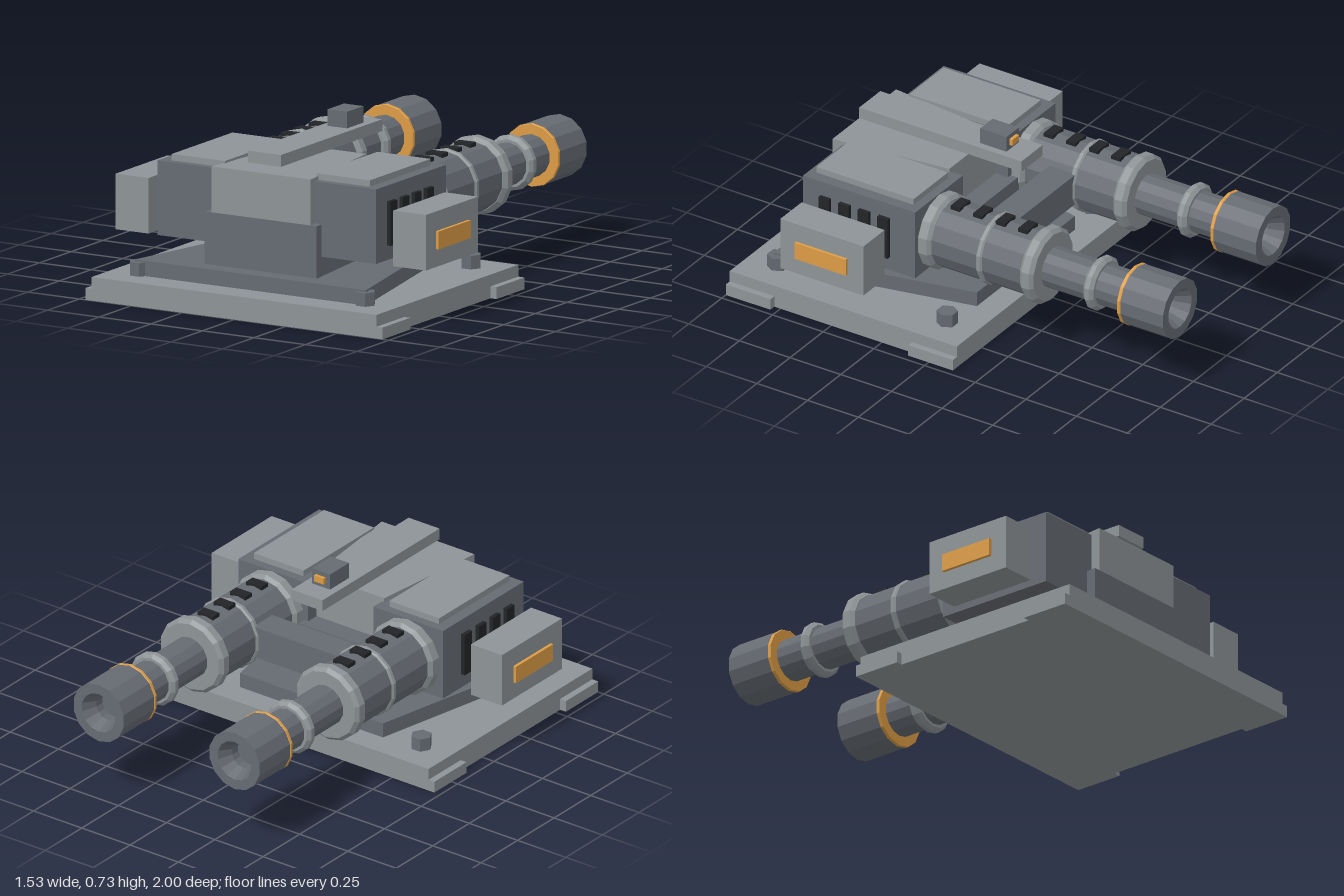
import * as THREE from 'three';

const paint = (color) => new THREE.MeshStandardMaterial({ color, flatShading: true });

export function createModel() {
  const model = new THREE.Group();
  const light = paint(0x8d9396), dark = paint(0x666b72);
  const black = paint(0x222427), amber = paint(0xdc9c45);

  function add(name, geometry, material, parent = model) {
    const mesh = new THREE.Mesh(geometry, material);
    mesh.name = name;
    parent.add(mesh);
    return mesh;
  }

  // Box given by its limits on each axis
  function box(name, material, [x0, x1], [y0, y1], [z0, z1], parent) {
    const g = new THREE.BoxGeometry(x1 - x0, y1 - y0, z1 - z0);
    g.translate((x0 + x1) / 2, (y0 + y1) / 2, (z0 + z1) / 2);
    return add(name, g, material, parent);
  }

  // Centred block whose half width changes from back to front
  function wedge(name, material, backHalf, frontHalf, [y0, y1], [z0, z1]) {
    const mesh = box(name, material, [-1, 1], [y0, y1], [z0, z1]);
    const p = mesh.geometry.attributes.position;
    for (let i = 0; i < p.count; i++) {
      const half = p.getZ(i) > (z0 + z1) / 2 ? frontHalf : backHalf;
      p.setX(i, Math.sign(p.getX(i)) * half);
    }
    mesh.geometry.computeVertexNormals();
    return mesh;
  }

  // Turned part along -z from [radius, distance] pairs
  function turned(name, material, profile, parent) {
    const g = new THREE.LatheGeometry(profile.map(([r, t]) => new THREE.Vector2(r, t)), 14);
    g.rotateX(-Math.PI / 2);
    return add(name, g, material, parent);
  }

  // Bevelled collar around a barrel
  function collar(name, material, inner, outer, t0, t1, bevel, parent) {
    turned(name, material, [
      [inner, t0], [outer - bevel, t0], [outer, t0 + bevel],
      [outer, t1 - bevel], [outer - bevel, t1], [inner, t1],
    ], parent);
  }

  // Base and mount
  box('base', light, [-0.69, 0.69], [0, 0.1], [-0.12, 1]);
  wedge('mountPlate', dark, 0.37, 0.56, [0.1, 0.165], [-0.01, 0.87]);
  wedge('pedestal', dark, 0.2, 0.272, [0.165, 0.386], [0.155, 0.79]);
  wedge('centralHousing', light, 0.18, 0.24, [0.386, 0.58], [0.25, 0.787]);
  box('barrelCrossbar', dark, [-0.25, 0.25], [0.33, 0.47], [-0.11, 0.02]);

  // Sight rail above the housing
  box('sightRail', light, [-0.08, 0.08], [0.61, 0.66], [-0.04, 0.76]);
  box('sight', dark, [-0.047, 0.047], [0.66, 0.73], [0.055, 0.185]);
  box('sightLens', amber, [-0.025, 0.025], [0.682, 0.71], [0.04, 0.055]);

  for (const side of [1, -1]) {
    const half = new THREE.Group();
    half.name = side > 0 ? 'leftSide' : 'rightSide';
    model.add(half);
    const sbox = (name, material, [a, b], y, z) =>
      box(name, material, side > 0 ? [a, b] : [-b, -a], y, z, half);

    // Base corner tabs and hexagonal bolts
    for (const z of [-0.12, 0.78]) sbox('baseTab', light, [0.69, 0.72], [0, 0.05], [z, z + 0.22]);
    for (const z of [0.02, 0.855]) {
      const bolt = new THREE.CylinderGeometry(0.045, 0.045, 0.057, 6);
      bolt.rotateY(Math.PI / 6);
      bolt.translate(side * 0.547, 0.1285, z);
      add('bolt', bolt, dark, half);
    }

    // Gun housing with roof plate and side vents
    sbox('gunHousing', dark, [0.17, 0.53], [0.248, 0.563], [0.19, 0.742]);
    sbox('roofPlate', light, [0.222, 0.48], [0.563, 0.59], [0.23, 0.71]);
    for (const z of [0.34, 0.437, 0.533, 0.63])
      sbox('sideVent', black, [0.525, 0.548], [0.31, 0.497], [z - 0.026, z + 0.026]);

    // Side pod with lit panel
    sbox('sidePod', light, [0.592, 0.752], [0.24, 0.475], [0.3, 0.71]);
    sbox('podPanel', amber, [0.752, 0.766], [0.316, 0.392], [0.378, 0.632]);

    // Barrel assembly
    const gun = new THREE.Group();
    gun.name = 'gun';
    gun.position.set(side * 0.352, 0.4, 0);
    half.add(gun);
    turned('barrelSleeve', dark, [[0, -0.25], [0.148, -0.25], [0.148, 0.36], [0, 0.36]], gun);
    collar('rearCollar', light, 0.14, 0.165, -0.2, -0.13, 0.015, gun);
    collar('middleCollar', light, 0.14, 0.157, 0.09, 0.118, 0.007, gun);
    collar('frontCollar', light, 0.088, 0.167, 0.308, 0.375, 0.016, gun);
    turned('barrel', dark, [[0.09, 0.36], [0.09, 0.79]], gun);
    collar('barrelRing', light, 0.088, 0.118, 0.59, 0.64, 0.015, gun);
    collar('muzzleBand', amber, 0.09, 0.134, 0.774, 0.79, 0.002, gun);
    turned('muzzle', dark, [
      [0, 0.778], [0.132, 0.778], [0.132, 1], [0.088, 1], [0.058, 0.94], [0.058, 0.9], [0, 0.9],
    ], gun);
    for (const z of [-0.25, -0.14, -0.028, 0.083])
      box('sleeveVent', black, [-0.04, 0.04], [0.12, 0.156], [z - 0.023, z + 0.023], gun);
  }

  return model;
}
